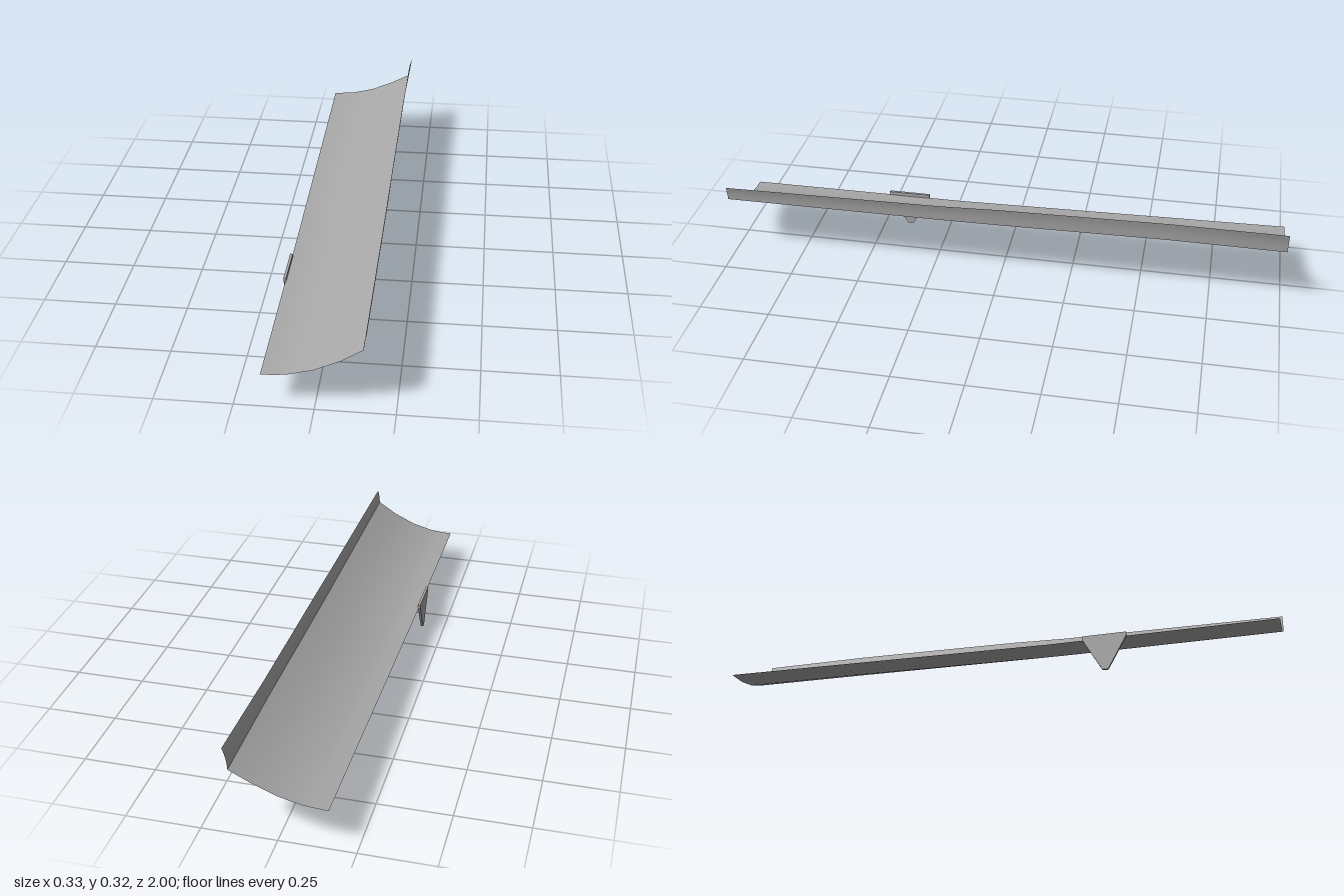
import * as THREE from 'three';

// Smooth open sheet through cross-sections; every section has the same point count.
function loft(sections) {
  const n = sections[0].length;
  const index = [];
  for (let r = 0; r < sections.length - 1; r++) {
    for (let c = 0; c < n - 1; c++) {
      const a = r * n + c, b = a + 1, d = a + n, e = d + 1;
      index.push(a, b, e, a, e, d);
    }
  }
  const geo = new THREE.BufferGeometry();
  geo.setAttribute('position', new THREE.Float32BufferAttribute(sections.flat(2), 3));
  geo.setIndex(index);
  geo.computeVertexNormals();
  return geo;
}

export function createModel() {
  const group = new THREE.Group();
  const grey = new THREE.MeshStandardMaterial({ color: 0xa8a8a8, side: THREE.DoubleSide });
  grey.name = 'plain grey';

  const add = (name, geo) => {
    const mesh = new THREE.Mesh(geo, grey);
    mesh.name = name;
    group.add(mesh);
  };

  // Stations along the length: panel heights for each x, then fin tip position
  const panelX = [-0.163, -0.122, -0.08, 0, 0.08, 0.15];
  const stations = [
    { z: 1.0, y: [0.119, 0.12, 0.125, 0.147, 0.185, 0.231], tip: [0.158, 0.283] },
    { z: 0.2, y: [0.12, 0.121, 0.126, 0.149, 0.187, 0.232], tip: [0.159, 0.295] },
    { z: 0.0, y: [0.124, 0.126, 0.13, 0.153, 0.19, 0.234], tip: [0.158, 0.302] },
    { z: -0.6, y: [0.136, 0.138, 0.143, 0.166, 0.2, 0.243], tip: [0.158, 0.313] },
    { z: -1.0, y: [0.144, 0.147, 0.151, 0.171, 0.205, 0.241], tip: [0.165, 0.317] },
  ];

  // Curved main panel
  add('curvedPanel', loft(stations.map(s => panelX.map((x, i) => [x, s.y[i], s.z]))));

  // Upright fin that flares outward at its top edge
  add('upperFin', loft(stations.map(({ z, y, tip }) =>
    [0, 0.35, 0.6, 0.8, 1].map(t => [
      0.15 + (tip[0] - 0.15) * t * t,
      y[5] + (tip[1] - y[5]) * t,
      z,
    ]))));

  // Tapered bracket below the low edge
  const outline = new THREE.Shape();
  outline.moveTo(0.325, 0.133);
  outline.lineTo(0.325, 0.12);
  outline.lineTo(0.388, 0.008);
  outline.quadraticCurveTo(0.391, 0, 0.398, 0);
  outline.lineTo(0.408, 0);
  outline.quadraticCurveTo(0.413, 0, 0.417, 0.008);
  outline.lineTo(0.48, 0.12);
  outline.lineTo(0.48, 0.133);
  outline.closePath();
  const bracket = new THREE.ExtrudeGeometry(outline, { depth: 0.009, bevelEnabled: false, curveSegments: 4 });
  bracket.rotateY(-Math.PI / 2);
  bracket.translate(-0.16, 0, 0);
  add('bracket', bracket);

  return group;
}
